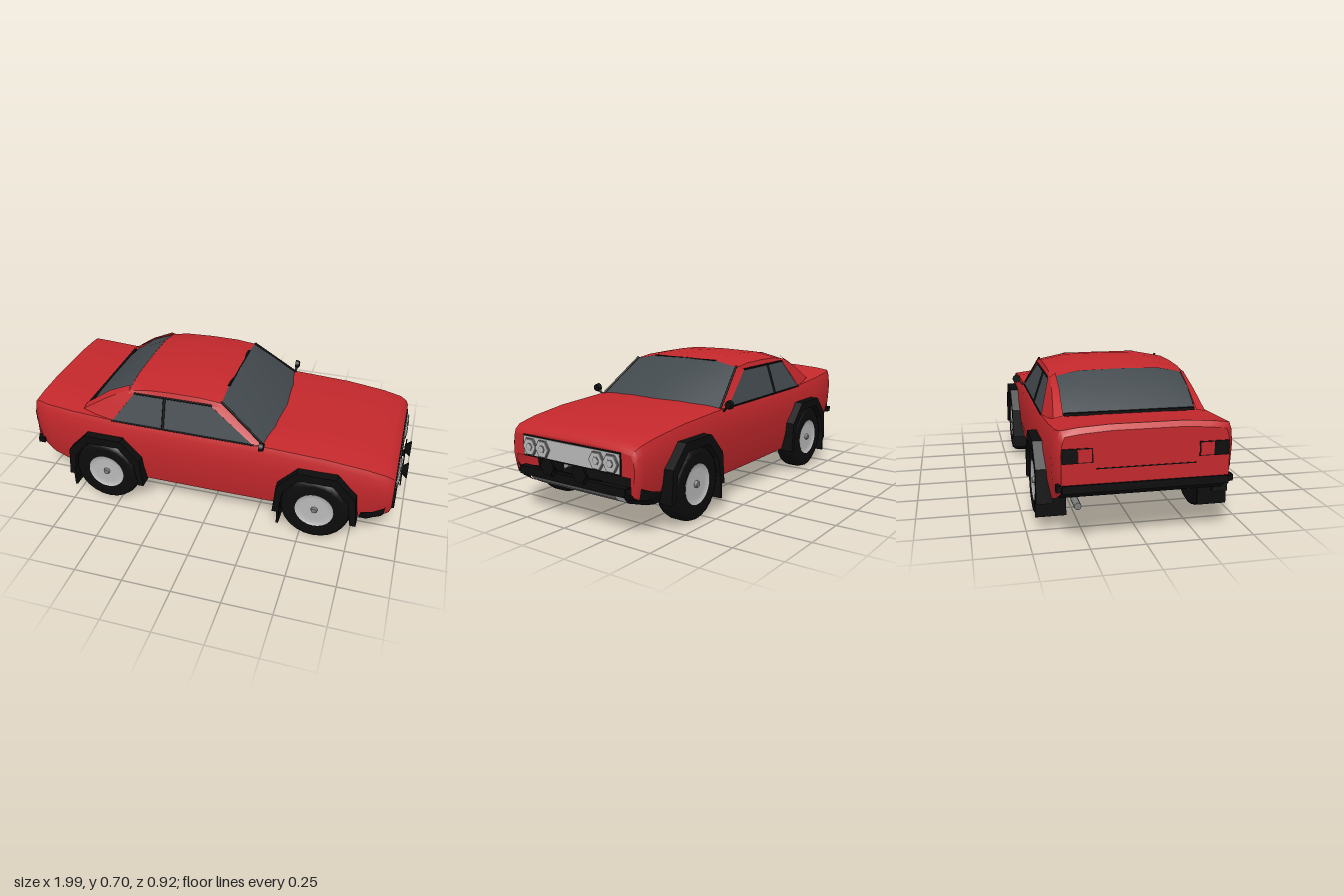
import * as THREE from 'three';
import { toCreasedNormals } from 'three/addons/utils/BufferGeometryUtils.js';

const mat = (name, color) => new THREE.MeshStandardMaterial({ name, color, side: THREE.DoubleSide });

export function createModel() {
  const red = mat('red paint', 0xc4282c), black = mat('black trim', 0x0c0c0c);
  const glass = mat('tinted glass', 0x42494d), silver = mat('silver', 0xbababa);
  const grey = mat('grey metal', 0x7c7e7c);
  const car = new THREE.Group();
  car.name = 'car';

  const add = (name, geo, m, x = 0, y = 0, z = 0, parent = car) => {
    const mesh = new THREE.Mesh(geo, m);
    mesh.name = name;
    mesh.position.set(x, y, z);
    parent.add(mesh);
    return mesh;
  };
  const box = (name, m, x0, x1, y0, y1, z0, z1) =>
    add(name, new THREE.BoxGeometry(x1 - x0, y1 - y0, Math.abs(z1 - z0)), m, (x0 + x1) / 2, (y0 + y1) / 2, (z0 + z1) / 2);
  // Cylinder lying along x, r1 at the front end
  const barX = (name, m, r1, r0, len, sides, x, y, z) => {
    const c = add(name, new THREE.CylinderGeometry(r1, r0, len, sides), m, x, y, z);
    c.rotation.z = -Math.PI / 2;
    return c;
  };
  // Surface through rows of [x, y, z] points
  const loft = (name, rows, m, crease = 0.6) => {
    const n = rows[0].length, index = [];
    for (let i = 0; i < rows.length - 1; i++)
      for (let j = 0; j < n - 1; j++) {
        const a = i * n + j, b = a + n;
        index.push(a, b, a + 1, b, b + 1, a + 1);
      }
    const g = new THREE.BufferGeometry();
    g.setAttribute('position', new THREE.Float32BufferAttribute(rows.flat(2), 3));
    g.setIndex(index);
    return add(name, toCreasedNormals(g, crease), m);
  };
  const mirrorRow = (half) => [...half, ...half.slice(0, -1).reverse().map(([x, y, z]) => [x, y, -z])];
  const strut = (name, m, a, b, r) => {
    const path = new THREE.LineCurve3(new THREE.Vector3(...a), new THREE.Vector3(...b));
    return add(name, new THREE.TubeGeometry(path, 1, r, 6), m);
  };

  // Body shell: x, bottom, top, half width
  const stations = [
    [-0.985, 0.29, 0.525, 0.372], [-0.965, 0.26, 0.548, 0.39], [-0.9, 0.21, 0.538, 0.403],
    [-0.75, 0.155, 0.525, 0.41], [-0.5, 0.15, 0.51, 0.413], [0, 0.147, 0.5, 0.413], [0.3, 0.147, 0.505, 0.413],
    [0.6, 0.15, 0.49, 0.411], [0.8, 0.155, 0.467, 0.406], [0.9, 0.18, 0.447, 0.4],
    [0.935, 0.2, 0.428, 0.39], [0.945, 0.22, 0.408, 0.378],
  ];
  const rings = stations.map(([x, b, t, w]) => mirrorRow([
    [x, b, 0.94 * w], [x, b + 0.25 * (t - b), 0.985 * w], [x, b + 0.6 * (t - b), w], [x, t - 0.05, 0.985 * w],
    [x, t - 0.018, 0.955 * w], [x, t - 0.008, 0.75 * w], [x, t, 0.4 * w], [x, t, 0],
  ]));
  loft('body', rings, red, 0.75);
  [rings[0], rings.at(-1)].forEach((ring, i) => {
    const mid = ring.map(([x, , z]) => [x, 0.29, z]);
    loft(i ? 'nosePanel' : 'tailPanel', i ? [mid, ring] : [ring, mid], red);
  });
  loft('floor', stations.map(([x, b, , w]) => [[x, b, -0.94 * w], [x, b, 0.94 * w]]), black);

  // Roof
  const roof = [[-0.44, 0.684], [-0.35, 0.7], [-0.2, 0.706], [-0.05, 0.704], [0.055, 0.692]];
  loft('roof', roof.map(([x, y]) => mirrorRow([
    [x, 0.645, 0.343], [x, y - 0.03, 0.332], [x, y - 0.004, 0.2], [x, y, 0],
  ])), red);

  // Windscreen and rear window
  loft('windscreen', [
    mirrorRow([[0.05, 0.664, 0.325], [0.055, 0.688, 0.2], [0.058, 0.69, 0]]),
    mirrorRow([[0.17, 0.578, 0.354], [0.19, 0.6, 0.21], [0.2, 0.606, 0]]),
    mirrorRow([[0.285, 0.486, 0.383], [0.315, 0.497, 0.22], [0.325, 0.502, 0]]),
  ], glass);
  loft('rearWindow', [
    mirrorRow([[-0.44, 0.658, 0.315], [-0.44, 0.682, 0.2], [-0.44, 0.685, 0]]),
    mirrorRow([[-0.56, 0.61, 0.315], [-0.56, 0.618, 0.2], [-0.56, 0.622, 0]]),
    mirrorRow([[-0.68, 0.52, 0.315], [-0.685, 0.525, 0.2], [-0.685, 0.527, 0]]),
  ], glass);
  box('rearWindowTrim', black, -0.69, -0.675, 0.52, 0.533, -0.31, 0.31);
  box('windscreenHeader', black, 0.047, 0.06, 0.678, 0.69, -0.2, 0.2);

  for (const s of [1, -1]) {
    // Side glass with divider and trim
    loft('sideWindow', [
      [[-0.41, 0.645, 0.342 * s], [0.0, 0.645, 0.342 * s]],
      [[-0.53, 0.484, 0.395 * s], [0.24, 0.484, 0.395 * s]],
    ], glass);
    strut('windowDivider', black, [-0.245, 0.645, 0.343 * s], [-0.245, 0.49, 0.394 * s], 0.007);
    strut('windowTopTrim', black, [-0.41, 0.647, 0.343 * s], [0.01, 0.647, 0.343 * s], 0.005);
    strut('windowSill', black, [-0.53, 0.49, 0.394 * s], [0.24, 0.487, 0.395 * s], 0.004);
    // Pillars
    loft('frontPillar', [
      [[0.055, 0.67, 0.325 * s], [0.0, 0.647, 0.343 * s]],
      [[0.295, 0.484, 0.383 * s], [0.24, 0.484, 0.396 * s]],
    ], red);
    strut('windscreenTrim', black, [0.055, 0.668, 0.327 * s], [0.29, 0.488, 0.383 * s], 0.006);
    loft('rearPillar', [
      [[-0.44, 0.675, 0.31 * s], [-0.44, 0.658, 0.334 * s], [-0.41, 0.645, 0.344 * s]],
      [[-0.56, 0.622, 0.31 * s], [-0.56, 0.6, 0.345 * s], [-0.47, 0.565, 0.37 * s]],
      [[-0.7, 0.525, 0.315 * s], [-0.7, 0.515, 0.36 * s], [-0.53, 0.484, 0.396 * s]],
    ], red);
    // Mirror
    strut('mirrorStalk', black, [0.28, 0.475, 0.395 * s], [0.29, 0.51, 0.43 * s], 0.006);
    barX('mirror', black, 0.019, 0.024, 0.022, 8, 0.288, 0.513, 0.433 * s);

    // Headlamps, two each side
    for (const z of [0.17, 0.253]) {
      barX('headlampRim', grey, 0.046, 0.046, 0.008, 6, 0.955, 0.343, z * s);
      barX('headlamp', silver, 0.04, 0.043, 0.012, 6, 0.956, 0.343, z * s);
      barX('headlampBulbRing', grey, 0.02, 0.02, 0.014, 6, 0.957, 0.343, z * s);
      barX('headlampBulb', silver, 0.016, 0.016, 0.016, 6, 0.957, 0.343, z * s);
    }
    // Fog lamp
    barX('fogLamp', black, 0.044, 0.02, 0.034, 6, 0.98, 0.277, 0.1 * s);
    box('fogLampBracket', black, 0.94, 0.972, 0.225, 0.26, 0.095 * s, 0.105 * s);
    // Front bumper corner
    loft('bumperCorner', [
      [[0.957, 0.24, 0.32 * s], [0.91, 0.24, 0.395 * s], [0.86, 0.22, 0.411 * s], [0.8, 0.205, 0.412 * s]],
      [[0.945, 0.19, 0.32 * s], [0.9, 0.185, 0.39 * s], [0.86, 0.185, 0.409 * s], [0.8, 0.2, 0.41 * s]],
      [[0.89, 0.15, 0.29 * s], [0.86, 0.15, 0.37 * s], [0.83, 0.15, 0.39 * s], [0.79, 0.15, 0.39 * s]],
    ], black);
    // Tail lamp: dark outer lens, framed red inner lens
    box('tailLampOuter', black, -0.99, -0.972, 0.39, 0.455, 0.305 * s, 0.368 * s);
    box('tailLampFrame', black, -0.988, -0.983, 0.39, 0.455, 0.235 * s, 0.305 * s);
    box('tailLampInner', red, -0.99, -0.983, 0.394, 0.451, 0.24 * s, 0.301 * s);
    box('rearBumperEnd', black, -0.985, -0.95, 0.265, 0.295, 0.36 * s, 0.393 * s);
  }

  // Front panel and bumper
  box('grilleFrame', black, 0.944, 0.949, 0.292, 0.397, -0.305, 0.305);
  box('grille', silver, 0.944, 0.952, 0.3, 0.39, -0.3, 0.3);
  box('frontBumper', black, 0.92, 0.957, 0.2, 0.24, -0.33, 0.33);
  box('lampBar', black, 0.966, 0.972, 0.255, 0.262, -0.21, 0.21);
  loft('skidPlate', [[0.958, 0.212], [0.93, 0.175], [0.88, 0.147], [0.82, 0.132], [0.75, 0.128]]
    .map(([x, y]) => [[x, y, -0.265], [x, y, 0.265]]), grey);

  // Rear bumper, boot seam and exhaust
  box('rearBumper', black, -0.995, -0.96, 0.26, 0.295, -0.37, 0.37);
  box('bootSeam', black, -0.988, -0.983, 0.36, 0.364, -0.22, 0.22);
  barX('exhaust', grey, 0.016, 0.016, 0.1, 12, -0.925, 0.195, -0.3);

  // Wheels, arches and mud flaps
  const v = (list) => list.map(([x, y]) => new THREE.Vector2(x, y));
  const tyre = new THREE.LatheGeometry(v([[0.095, -0.055], [0.15, -0.064], [0.172, -0.05], [0.18, -0.028],
    [0.18, 0.028], [0.172, 0.05], [0.15, 0.062], [0.095, 0.056]]), 24);
  const rim = new THREE.LatheGeometry(v([[0, 0.052], [0.07, 0.05], [0.09, 0.054], [0.099, 0.06]]), 24);
  const innerRim = new THREE.LatheGeometry(v([[0.055, -0.04], [0.098, -0.056]]), 24);
  const arch = v([[-0.215, 0.14], [-0.2, 0.3], [-0.1, 0.405], [0.1, 0.405], [0.2, 0.3], [0.215, 0.14]]);
  const opening = v([[0.185, 0.14], [0.165, 0.27], [0.085, 0.362], [-0.085, 0.362], [-0.165, 0.27], [-0.185, 0.14]]);
  const extrude = (pts, depth) => new THREE.ExtrudeGeometry(new THREE.Shape(pts), { depth, bevelEnabled: false });
  const flareGeo = extrude([...arch, ...opening], 0.075);
  const linerGeo = extrude(arch, 0.038);

  for (const cx of [-0.565, 0.572])
    for (const s of [1, -1]) {
      const wheel = new THREE.Group();
      wheel.name = (cx > 0 ? 'front' : 'rear') + 'Wheel';
      wheel.position.set(cx, 0.185, 0.385 * s);
      wheel.rotation.x = s * Math.PI / 2;
      car.add(wheel);
      add('tyre', tyre, black, 0, 0, 0, wheel);
      add('rim', rim, silver, 0, 0, 0, wheel);
      add('hubCap', new THREE.CylinderGeometry(0.014, 0.019, 0.014, 8), grey, 0, 0.057, 0, wheel);
      add('innerRim', innerRim, silver, 0, 0, 0, wheel);
      add('brakeDrum', new THREE.CylinderGeometry(0.06, 0.06, 0.02, 12), grey, 0, -0.04, 0, wheel);
      add('innerHub', new THREE.CylinderGeometry(0.025, 0.025, 0.012, 6), silver, 0, -0.05, 0, wheel);
      add('wheelFlare', flareGeo, black, cx, 0, s > 0 ? 0.38 : -0.455);
      add('archLiner', linerGeo, black, cx, 0, s > 0 ? 0.38 : -0.418);
      box('mudFlap', black, cx - 0.19, cx - 0.178, 0.07, 0.18, 0.315 * s, 0.458 * s);
    }
  return car;
}
